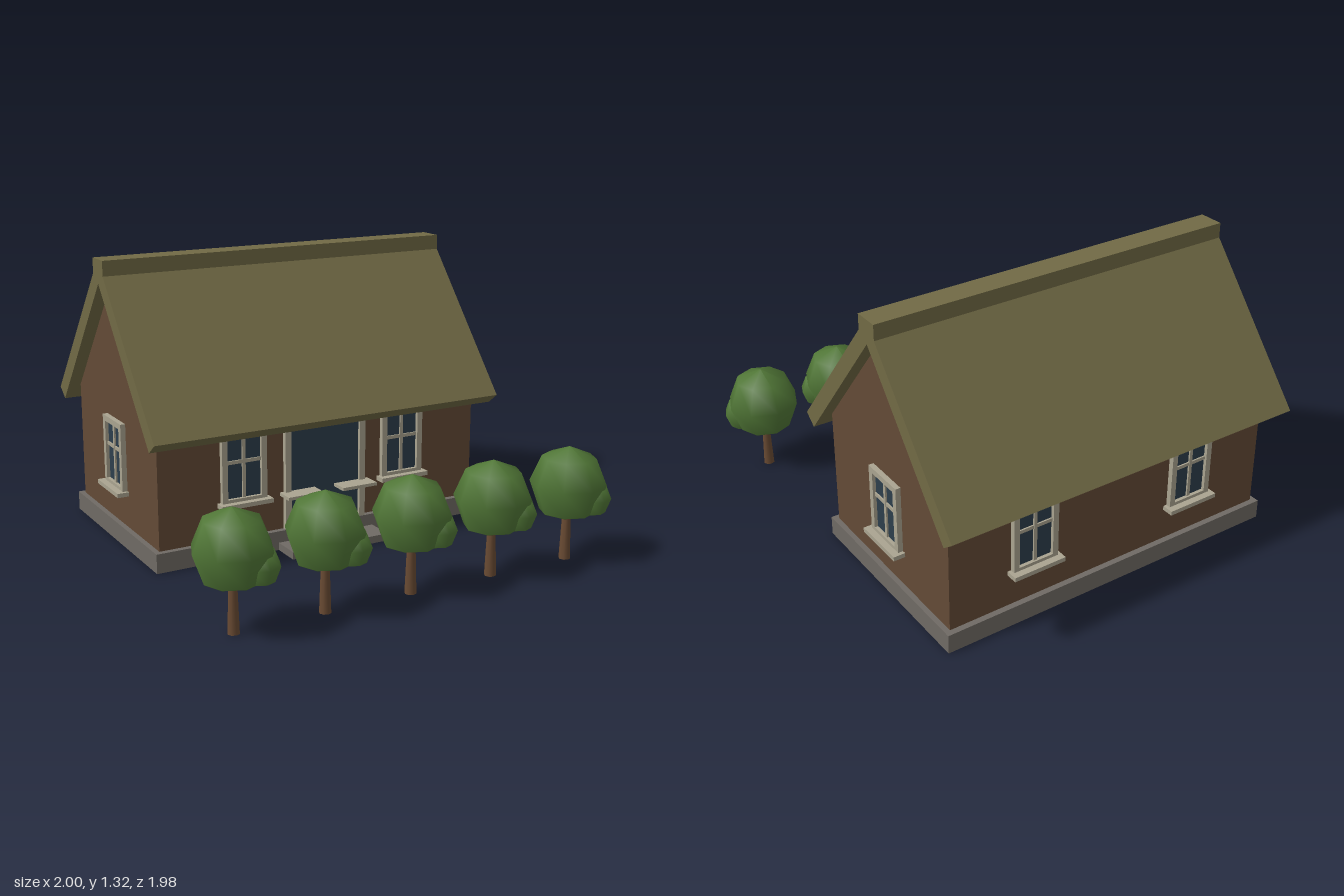
import * as THREE from 'three';

const mat = (name, color, extra = {}) => {
  const m = new THREE.MeshStandardMaterial({ color, ...extra });
  m.name = name;
  return m;
};

export function createModel() {
  const thatch = mat('thatch', 0x716a45);
  const wall = mat('wall brown', 0x634a36);
  const stone = mat('stone', 0x6f6a64);
  const trim = mat('trim', 0xaaa490);
  const glass = mat('glass blue', 0x2d3e4c);
  const leaf = mat('leaf green', 0x507636);
  const bark = mat('bark', 0x6a4b33);

  const model = new THREE.Group();
  model.name = 'cottage';
  const CZ = -0.397; // house centre line

  const add = (parent, name, geometry, material, x = 0, y = 0, z = 0) => {
    const mesh = new THREE.Mesh(geometry, material);
    mesh.name = name;
    mesh.position.set(x, y, z);
    parent.add(mesh);
    return mesh;
  };
  const box = (parent, name, material, w, h, d, x, y, z) =>
    add(parent, name, new THREE.BoxGeometry(w, h, d), material, x, y, z);

  // Extrudes a (z, y) section along x, centred on the house
  const alongX = (points, length) => {
    const shape = new THREE.Shape(points.map(([z, y]) => new THREE.Vector2(z, y)));
    return new THREE.ExtrudeGeometry(shape, { depth: length, bevelEnabled: false })
      .translate(0, 0, -length / 2).rotateY(-Math.PI / 2);
  };

  // Base, step, gabled walls
  box(model, 'plinth', stone, 1.7, 0.09, 0.995, 0, 0.045, CZ);
  box(model, 'doorStep', stone, 0.5, 0.035, 0.14, 0, 0.0175, 0.168);
  add(model, 'walls', alongX(
    [[-0.47, 0.08], [0.47, 0.08], [0.47, 0.655], [0, 1.22], [-0.47, 0.655]], 1.65), wall, 0, 0, CZ);

  // Thatched roof with raised ridge
  const half = [[0.535, 0.565], [0.595, 0.612], [0.06, 1.25], [0.06, 1.32]];
  const mirrored = half.map(([z, y]) => [-z, y]).reverse();
  add(model, 'roof', alongX([[0, 1.21], ...half, ...mirrored], 1.77), thatch, 0, 0, CZ);

  // Rectangular frame with an opening
  const frame = (w, h, t, depth) => {
    const s = new THREE.Shape([[-w, -h], [w, -h], [w, h], [-w, h]]
      .map(([x, y]) => new THREE.Vector2(x / 2, y / 2)));
    const a = w / 2 - t, b = h / 2 - t;
    s.holes.push(new THREE.Path([[-a, -b], [-a, b], [a, b], [a, -b]]
      .map(([x, y]) => new THREE.Vector2(x, y))));
    return new THREE.ExtrudeGeometry(s, { depth, bevelEnabled: false });
  };

  // Four-pane window facing local +z
  const addWindow = (x, z, turn) => {
    const g = new THREE.Group();
    g.name = 'window';
    add(g, 'windowFrame', frame(0.222, 0.33, 0.027, 0.024), trim);
    box(g, 'windowGlass', glass, 0.175, 0.28, 0.008, 0, 0, 0.004);
    box(g, 'mullion', trim, 0.016, 0.28, 0.016, 0, 0, 0.008);
    box(g, 'transom', trim, 0.175, 0.016, 0.015, 0, 0.03, 0.0075);
    box(g, 'windowSill', trim, 0.255, 0.02, 0.055, 0, -0.163, 0.0275);
    g.position.set(x, 0.417, z);
    g.rotation.y = turn;
    model.add(g);
  };
  for (const side of [-1, 1]) {
    addWindow(side * 0.415, CZ + 0.47, 0);
    addWindow(side * 0.415, CZ - 0.47, Math.PI);
    addWindow(side * 0.825, CZ, side * Math.PI / 2);
  }

  // Wide glazed door with frame and two ledges
  const door = new THREE.Group();
  door.name = 'door';
  door.position.z = CZ + 0.47;
  model.add(door);
  box(door, 'doorPanel', glass, 0.37, 0.52, 0.009, 0, 0.345, 0.0045);
  box(door, 'doorHead', trim, 0.42, 0.03, 0.024, 0, 0.613, 0.012);
  for (const side of [-1, 1]) {
    box(door, 'doorJamb', trim, 0.03, 0.51, 0.024, side * 0.195, 0.345, 0.012);
    box(door, 'doorLedge', trim, 0.18, 0.015, 0.088, side * 0.142, 0.26, 0.05);
  }

  // Row of small trees: rounded crown plus a smaller lobe
  const profile = [[0, -0.13], [0.122, -0.13], [0.123, -0.128], [0.17, 0], [0.12, 0.12], [0, 0.17]];
  const crown = new THREE.LatheGeometry(profile.map(([r, y]) => new THREE.Vector2(r, y)), 8);
  const trunk = new THREE.CylinderGeometry(0.017, 0.026, 0.25, 8);
  for (let i = -2; i <= 2; i++) {
    const tree = new THREE.Group();
    tree.name = 'tree';
    tree.position.set(i * 0.413, 0, 0.815);
    add(tree, 'trunk', trunk, bark, 0, 0.125, 0);
    add(tree, 'crown', crown, leaf, 0, 0.355, 0);
    add(tree, 'crownLobe', crown, leaf, 0.09, 0.29, 0.06).scale.setScalar(0.5);
    model.add(tree);
  }
  return model;
}
